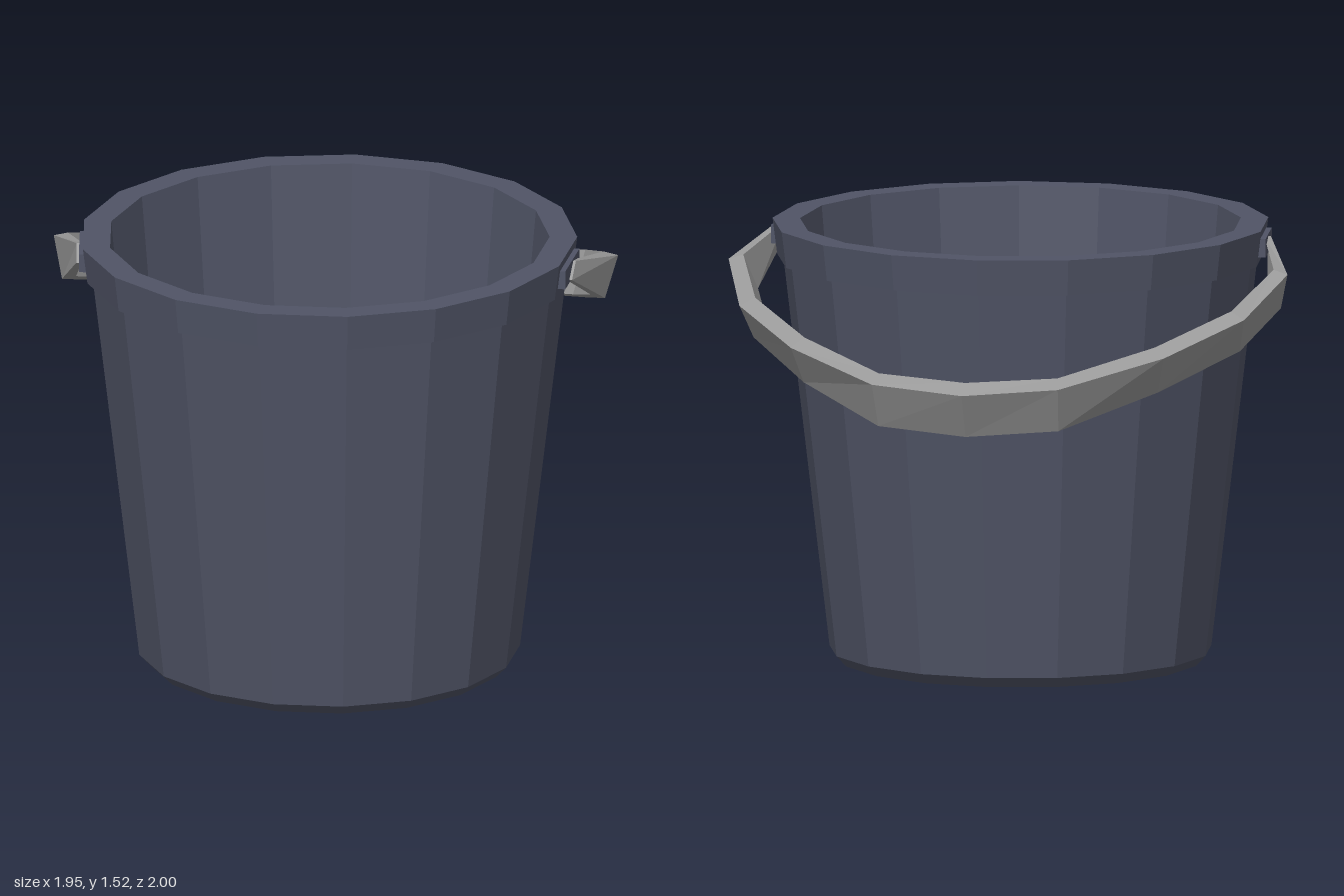
import * as THREE from 'three';

const SIDES = 17;
const CENTRE_Z = 0.157;

const bucketMat = new THREE.MeshStandardMaterial({ color: 0x505466 });
bucketMat.name = 'slate plastic';
const handleMat = new THREE.MeshStandardMaterial({ color: 0x999999 });
handleMat.name = 'grey metal';

// Faceted mesh: every face gets its own flat normal
function faceted(geometry, material, name) {
  const geo = geometry.index ? geometry.toNonIndexed() : geometry;
  geo.computeVertexNormals();
  const mesh = new THREE.Mesh(geo, material);
  mesh.name = name;
  return mesh;
}

// Seventeen-sided turned part with one corner at the back
function turned(profile, name) {
  const points = profile.map(([r, y]) => new THREE.Vector2(r, y));
  const mesh = faceted(new THREE.LatheGeometry(points, SIDES, Math.PI), bucketMat, name);
  mesh.position.z = CENTRE_Z;
  return mesh;
}

// Four-cornered cross-sections joined into a closed bar
function loft(rings) {
  const pos = [];
  const tri = (...corners) => corners.forEach((c) => pos.push(...c));
  for (let i = 0; i < rings.length - 1; i++) {
    const a = rings[i], b = rings[i + 1];
    for (let j = 0; j < 4; j++) {
      const k = (j + 1) % 4;
      tri(a[j], b[j], b[k]);
      tri(a[j], b[k], a[k]);
    }
  }
  const s = rings[0], e = rings[rings.length - 1];
  tri(s[0], s[1], s[2]);
  tri(s[0], s[2], s[3]);
  tri(e[0], e[2], e[1]);
  tri(e[0], e[3], e[2]);
  const geo = new THREE.BufferGeometry();
  geo.setAttribute('position', new THREE.Float32BufferAttribute(pos, 3));
  return geo;
}

export function createModel() {
  const model = new THREE.Group();
  model.name = 'bucket';

  // Outer wall with chamfered foot, lip, and hollow inside
  model.add(turned([[0, 0], [0.625, 0], [0.66, 0.037], [0.822, 1.41]], 'outerWall'));
  model.add(turned([[0.8, 1.4], [0.841, 1.4], [0.857, 1.525], [0.762, 1.525]], 'rim'));
  model.add(turned([[0.762, 1.525], [0.626, 0.04], [0, 0.04]], 'innerWall'));

  // Pivot plates lying on the rim's side facets
  const tilt = Math.PI / SIDES / 2;
  for (const side of [1, -1]) {
    const plate = faceted(new THREE.BoxGeometry(0.05, 0.065, 0.245), bucketMat,
      side > 0 ? 'leftPivot' : 'rightPivot');
    plate.position.set(side * 0.832 * Math.cos(tilt), 1.462, CENTRE_Z + 0.832 * Math.sin(tilt));
    plate.rotation.y = -side * tilt;
    model.add(plate);
  }

  // Handle sections, pivot to middle: outer top, inner top, inner bottom, outer bottom
  const half = [
    [[0.864, 1.487, 0.22], [0.84, 1.487, 0.22], [0.84, 1.44, 0.29], [0.858, 1.44, 0.29]],
    [[0.977, 1.405, -0.09], [0.927, 1.42, -0.08], [0.89, 1.29, 0], [0.94, 1.275, -0.01]],
    [[0.882, 1.295, -0.41], [0.832, 1.32, -0.38], [0.8, 1.19, -0.28], [0.85, 1.17, -0.31]],
    [[0.652, 1.2, -0.69], [0.612, 1.23, -0.645], [0.58, 1.095, -0.575], [0.62, 1.07, -0.62]],
    [[0.325, 1.12, -0.935], [0.312, 1.15, -0.87], [0.305, 0.99, -0.81], [0.315, 0.965, -0.865]],
  ];
  const middle = [[0, 1.1, -1], [0, 1.135, -0.93], [0, 0.975, -0.855], [0, 0.945, -0.92]];
  const mirrored = half.map((ring) => ring.map(([x, y, z]) => [-x, y, z])).reverse();
  model.add(faceted(loft([...half, middle, ...mirrored]), handleMat, 'handle'));

  return model;
}
